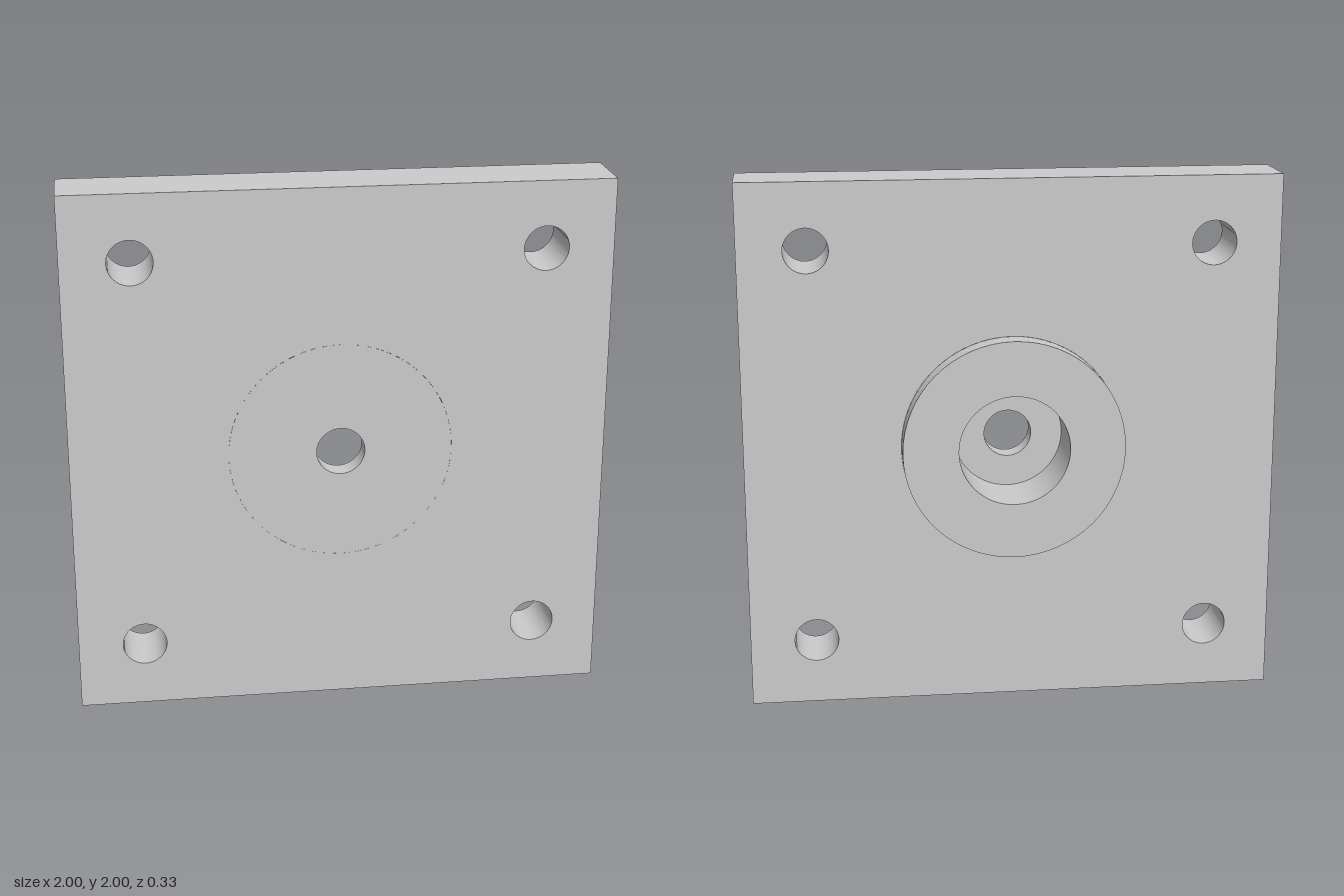
import * as THREE from 'three';
import { toCreasedNormals } from 'three/addons/utils/BufferGeometryUtils.js';

const SEGMENTS = 64;
const FRONT = 0.167, BACK = -0.083, BOSS_BACK = -0.167;
const BOSS_R = 0.416, BORE_R = 0.208, PILOT_R = 0.09, BOLT_R = 0.083;
const BORE_FLOOR = 0.083;

function hole(x, y, radius) {
  return new THREE.Path().absarc(x, y, radius, 0, Math.PI * 2, true);
}

export function createModel() {
  const model = new THREE.Group();
  model.name = 'mountingPlate';
  const material = new THREE.MeshStandardMaterial({ color: 0xcccccc });

  function add(name, geometry) {
    const mesh = new THREE.Mesh(toCreasedNormals(geometry, Math.PI / 6), material);
    mesh.name = name;
    mesh.position.y = 1;
    model.add(mesh);
  }

  // Square plate with four bolt holes and an opening for the hub
  const outline = new THREE.Shape([
    new THREE.Vector2(-1, -1), new THREE.Vector2(1, -1),
    new THREE.Vector2(1, 1), new THREE.Vector2(-1, 1),
  ]);
  outline.holes.push(hole(0, 0, BOSS_R));
  for (const x of [-0.75, 0.75]) {
    for (const y of [-0.75, 0.75]) outline.holes.push(hole(x, y, BOLT_R));
  }
  const plate = new THREE.ExtrudeGeometry(outline, {
    depth: FRONT - BACK, bevelEnabled: false, curveSegments: SEGMENTS,
  });
  plate.translate(0, 0, BACK);
  add('plate', plate);

  // Hub: flush front face, pilot hole, counterbore and raised boss at the back
  const profile = [
    [BOSS_R, FRONT], [PILOT_R, FRONT], [PILOT_R, BORE_FLOOR], [BORE_R, BORE_FLOOR],
    [BORE_R, BOSS_BACK], [BOSS_R, BOSS_BACK], [BOSS_R, BACK],
  ].map(([r, z]) => new THREE.Vector2(r, z));
  const hub = new THREE.LatheGeometry(profile, SEGMENTS);
  hub.rotateX(Math.PI / 2);
  add('counterboredHub', hub);

  return model;
}
